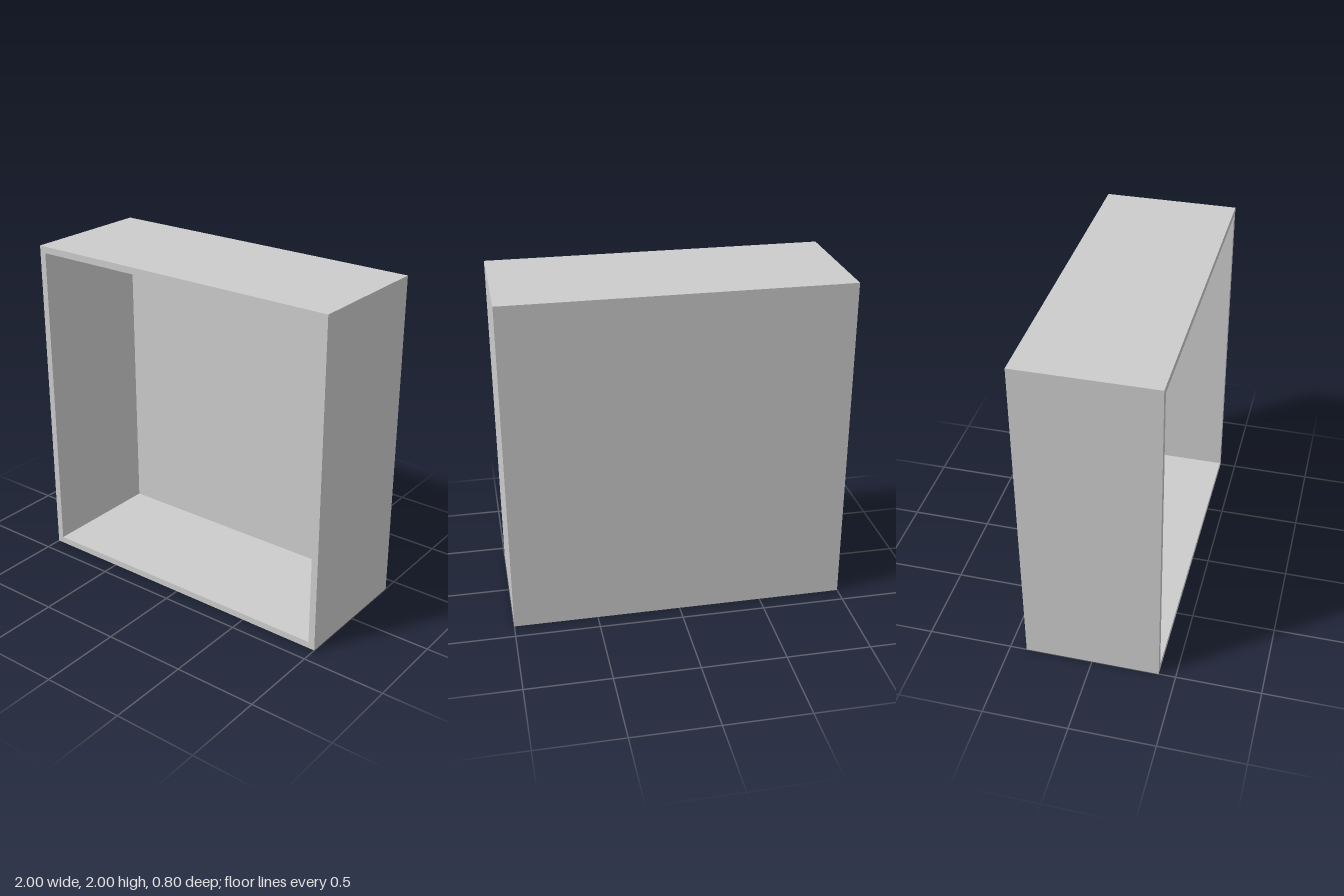
import * as THREE from 'three';

const SIZE = 2;     // width and height
const DEPTH = 0.8;
const WALL = 0.04;

export function createModel() {
  const group = new THREE.Group();
  group.name = 'openBox';

  // Half section of the shell, from the middle of the back, around the rim, into the cavity
  const outer = SIZE / 2, inner = outer - WALL, front = DEPTH / 2;
  const section = [
    [0, -front], [outer, -front], [outer, front],
    [inner, front], [inner, -front + WALL], [0, -front + WALL],
  ].map(([r, z]) => new THREE.Vector2(r * Math.SQRT2, z));

  // Four-sided lathe makes a square shell; turn its axis to face the front
  const geometry = new THREE.LatheGeometry(section, 4, Math.PI / 4)
    .rotateX(Math.PI / 2)
    .translate(0, SIZE / 2, 0)
    .toNonIndexed();
  geometry.computeVertexNormals();

  const shell = new THREE.Mesh(
    geometry,
    new THREE.MeshStandardMaterial({ color: 0xcccccc, flatShading: true }),
  );
  shell.name = 'boxShell';
  group.add(shell);
  return group;
}
